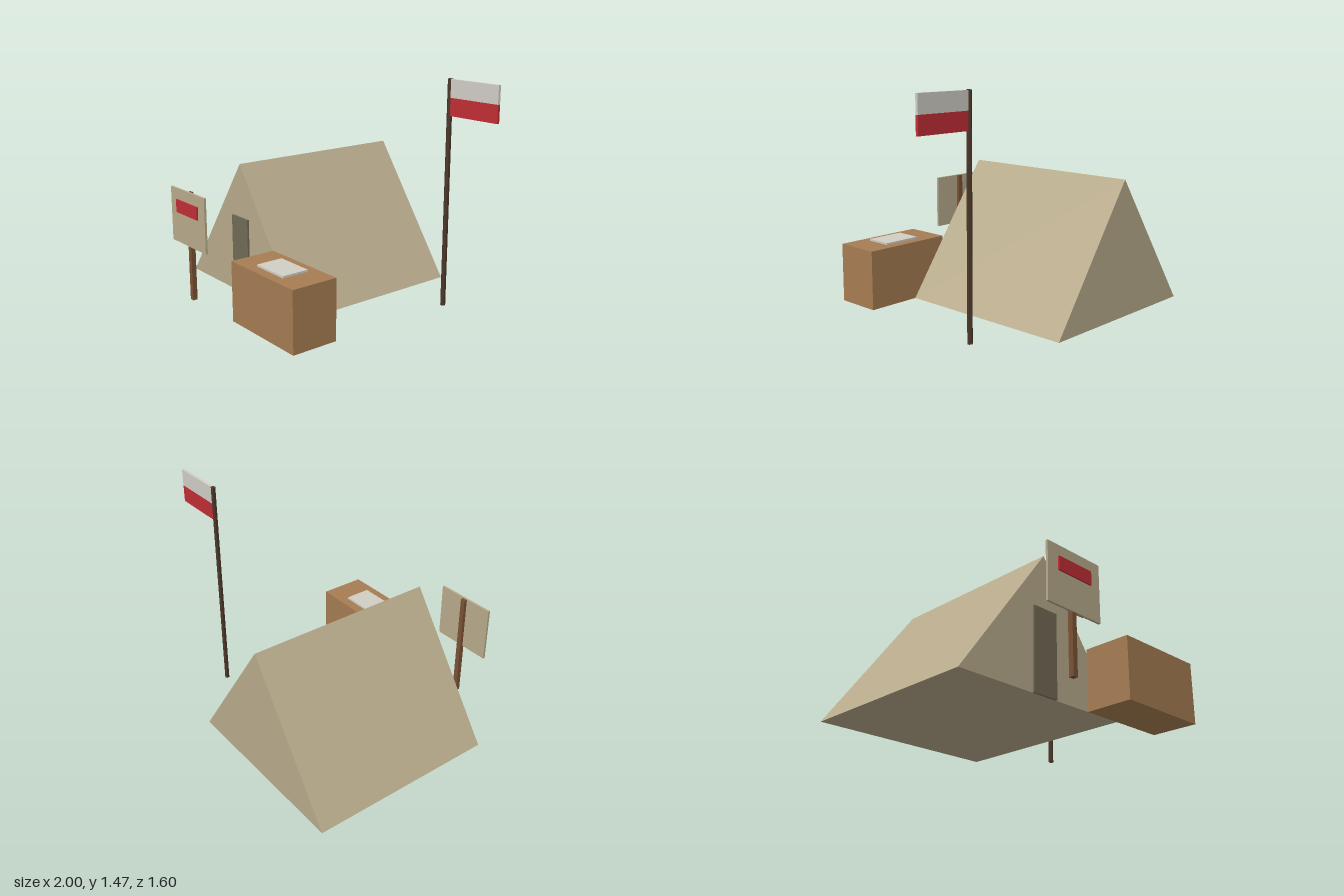
import * as THREE from 'three';

const mat = (name, color) => {
  const m = new THREE.MeshStandardMaterial({ color });
  m.name = name;
  return m;
};

export function createModel() {
  const group = new THREE.Group();
  const canvas = mat('canvas', 0xb8ab8c);
  const darkCanvas = mat('dark canvas', 0x716a56);
  const wood = mat('wood', 0xa67c52);
  const postWood = mat('post wood', 0x7a5235);
  const darkWood = mat('dark wood', 0x4a3628);
  const white = mat('white', 0xd1cec6);
  const red = mat('red', 0xc02e35);

  const add = (name, geometry, material) => {
    const mesh = new THREE.Mesh(geometry, material);
    mesh.name = name;
    group.add(mesh);
    return mesh;
  };
  // Box given by its extents along each axis
  const box = (name, material, [x0, x1], [y0, y1], [z0, z1]) =>
    add(name, new THREE.BoxGeometry(x1 - x0, y1 - y0, z1 - z0), material)
      .position.set((x0 + x1) / 2, (y0 + y1) / 2, (z0 + z1) / 2);

  // Ridge tent: triangular prism with a door flap
  const gable = new THREE.Shape([
    new THREE.Vector2(-1, 0),
    new THREE.Vector2(0.25, 0),
    new THREE.Vector2(-0.375, 0.887),
  ]);
  add('tent', new THREE.ExtrudeGeometry(gable, { depth: 1.255, bevelEnabled: false }), canvas)
    .position.z = -0.8;
  box('tentDoor', darkCanvas, [-0.465, -0.283], [0, 0.53], [0.45, 0.468]);

  // Crate table with a sheet of paper
  box('table', wood, [-0.01, 0.615], [0, 0.392], [0.455, 0.766]);
  box('paper', white, [0.17, 0.432], [0.39, 0.405], [0.52, 0.7]);

  // Sign on a square post
  box('signPost', postWood, [-0.498, -0.465], [0, 0.73], [0.752, 0.784]);
  box('signBoard', canvas, [-0.69, -0.272], [0.368, 0.732], [0.774, 0.789]);
  box('signPanel', red, [-0.61, -0.35], [0.575, 0.66], [0.785, 0.8]);

  // Hexagonal flagpole with a two-band flag
  const pole = new THREE.CylinderGeometry(0.0165, 0.0165, 1.465, 6).toNonIndexed();
  pole.computeVertexNormals();
  add('flagpole', pole, darkWood).position.set(0.616, 0.7325, -0.436);
  box('flagUpperBand', white, [0.62, 1], [1.35, 1.463], [-0.445, -0.427]);
  box('flagLowerBand', red, [0.62, 1], [1.238, 1.35], [-0.445, -0.427]);

  return group;
}
